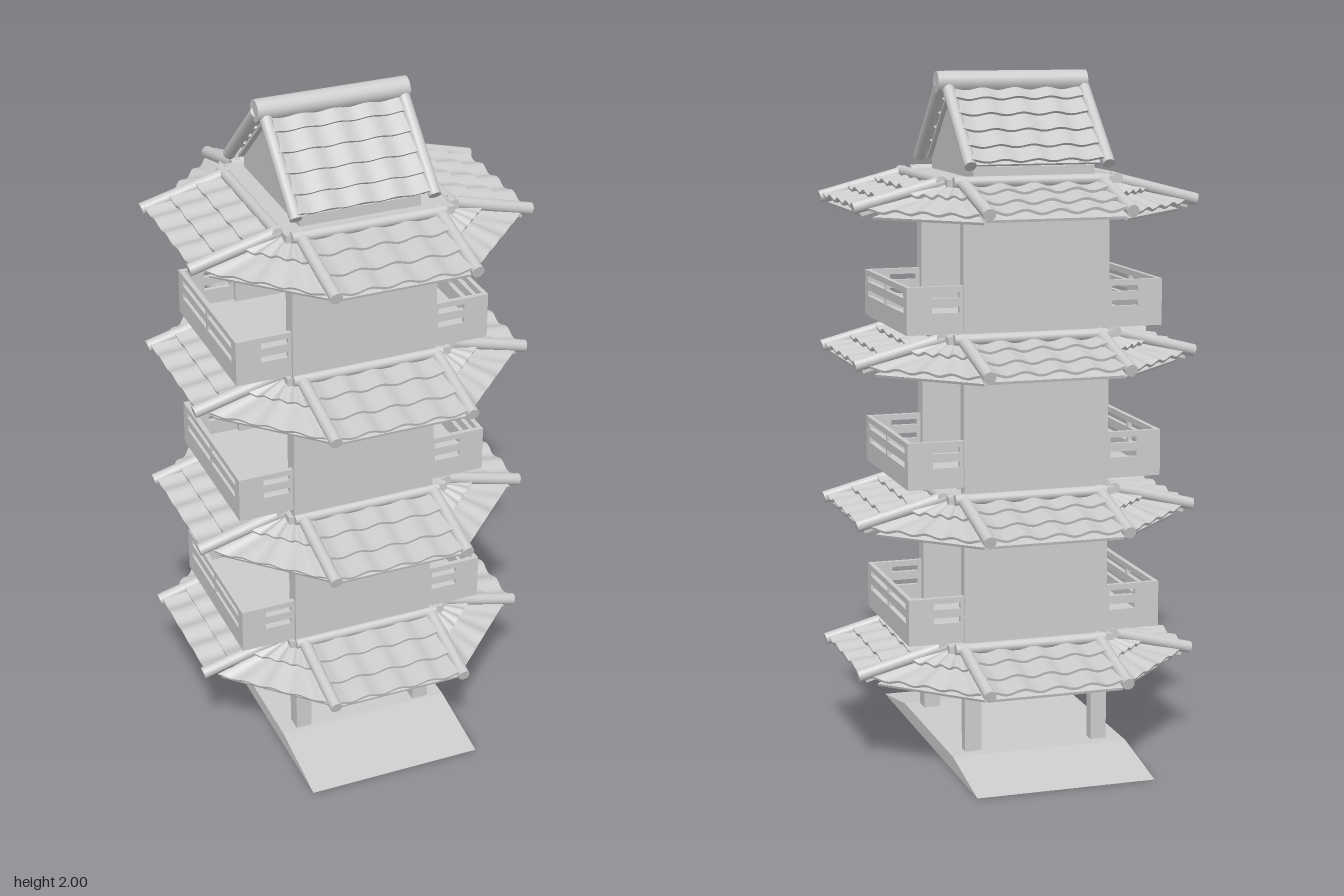
import * as THREE from 'three';

const mat = new THREE.MeshStandardMaterial({ color: 0xcccccc, side: THREE.DoubleSide });
const CX = -0.017, CZ = 0.012; // centre of the tower body

function add(parent, name, geo, x = 0, y = 0, z = 0) {
  const m = new THREE.Mesh(geo, mat);
  m.name = name;
  m.position.set(x, y, z);
  parent.add(m);
  return m;
}

// box given by its min and max corners
function block(parent, name, x0, x1, y0, y1, z0, z1) {
  return add(parent, name, new THREE.BoxGeometry(x1 - x0, y1 - y0, z1 - z0),
    (x0 + x1) / 2, (y0 + y1) / 2, (z0 + z1) / 2);
}

// round beam between two points
function beam(parent, name, a, b, r) {
  const p = new THREE.Vector3(...a), q = new THREE.Vector3(...b);
  const d = q.clone().sub(p);
  const m = add(parent, name, new THREE.CylinderGeometry(r, r, d.length(), 14));
  m.position.copy(p).add(q).multiplyScalar(0.5);
  m.quaternion.setFromUnitVectors(new THREE.Vector3(0, 1, 0), d.normalize());
  return m;
}

// one course of wavy tiles; its width runs from w0 to w1 and its lower edge is lifted
function course(w0, w1, v0, v1, thick, amp, lift, waves) {
  const g = new THREE.BoxGeometry(1, thick, v1 - v0, amp ? 48 : 1, 1, 1);
  const p = g.attributes.position, wide = Math.max(w0, w1);
  for (let i = 0; i < p.count; i++) {
    const t = p.getZ(i) > 0 ? 1 : 0;
    const x = p.getX(i) * (w0 + (w1 - w0) * t);
    const wave = amp * Math.cos((x / wide) * waves * 2 * Math.PI);
    p.setXYZ(i, x, p.getY(i) + wave + lift * t, t ? v1 : v0);
  }
  g.computeVertexNormals();
  return g;
}

// overlapping courses on a flat board, running down local +z
function tiledSlope(name, wTop, wEave, length, rows, waves, amp) {
  const slope = new THREE.Group();
  slope.name = name;
  const w = (v) => wTop + (wEave - wTop) * v / length;
  for (let r = 0; r < rows; r++) {
    const v0 = length * r / rows, v1 = Math.min(length, length * (r + 1) / rows + 0.006);
    add(slope, 'tileCourse', course(w(v0), w(v1), v0, v1, 0.008, amp, 0.014, waves));
  }
  add(slope, 'roofBoard', course(wTop, wEave, 0, length - 0.01, 0.008, 0, 0, 1), 0, -0.014, 0);
  return slope;
}

// skirt roof: four slopes, four corner slopes and the round ridges
function skirtRoof(y) {
  const roof = new THREE.Group();
  roof.name = 'skirtRoof';
  roof.position.y = y;
  for (let i = 0; i < 4; i++) {
    const side = new THREE.Group();
    side.name = 'roofSide';
    side.rotation.y = i * Math.PI / 2;
    const slope = tiledSlope('tiledSlope', 0.4, 0.4, 0.252, 3, 4, 0.006);
    slope.position.set(-0.005, 0.347, 0.255);
    slope.rotation.x = 0.27;
    side.add(slope);

    const corner = new THREE.Group();
    corner.name = 'cornerSlope';
    corner.rotation.y = Math.PI / 4;
    const fan = tiledSlope('tiledCorner', 0.01, 0.35, 0.2, 2, 4, 0.005);
    fan.position.set(0, 0.352, 0.3);
    fan.rotation.x = 0.43;
    corner.add(fan);
    side.add(corner);

    for (const x of [-0.207, 0.203]) {
      beam(side, 'hipRidge', [x, 0.358, 0.245], [x, 0.289, 0.51], 0.018);
    }
    beam(side, 'topRidge', [-0.235, 0.358, 0.258], [0.22, 0.358, 0.258], 0.016);
    roof.add(side);
  }
  block(roof, 'floorSlab', -0.25, 0.25, 0.315, 0.365, -0.25, 0.255);
  return roof;
}

// railing panel with rectangular slots, centred on x and standing on y = 0
function railing(width, height, slots) {
  const s = new THREE.Shape();
  s.moveTo(-width / 2, 0);
  s.lineTo(width / 2, 0);
  s.lineTo(width / 2, height);
  s.lineTo(-width / 2, height);
  s.closePath();
  for (const [x0, x1] of slots) {
    for (const y of [0.06, 0.102]) {
      const h = new THREE.Path();
      h.moveTo(x0, y);
      h.lineTo(x0, y + 0.017);
      h.lineTo(x1, y + 0.017);
      h.lineTo(x1, y);
      h.closePath();
      s.holes.push(h);
    }
  }
  return new THREE.ExtrudeGeometry(s, { depth: 0.014, bevelEnabled: false });
}

// balcony on one side of the tower; dir is +1 for left, -1 for right
function balcony(y, dir) {
  const b = new THREE.Group();
  b.name = dir > 0 ? 'leftBalcony' : 'rightBalcony';
  b.position.set(CX, y, CZ - 0.002);
  const outer = add(b, 'outerRailing', railing(0.48, 0.136, [[-0.205, -0.006], [0.006, 0.205]]),
    dir > 0 ? 0.368 : -0.382, 0, 0);
  outer.rotation.y = Math.PI / 2;
  const slot = dir > 0 ? [-0.07, 0.01] : [-0.01, 0.07];
  for (const z of [-0.24, 0.226]) {
    add(b, 'endRailing', railing(0.168, 0.136, [slot]), dir * 0.298, 0, z);
  }
  add(b, 'balconyFloor', new THREE.BoxGeometry(0.17, 0.014, 0.476), dir * 0.295, 0.007, 0);
  return b;
}

export function createModel() {
  const model = new THREE.Group();
  model.name = 'pagoda';

  // base with ramps to the front and back
  const ramp = new THREE.Shape([[-0.515, 0], [0.515, 0], [0.27, 0.042], [-0.27, 0.042]]
    .map(([a, b]) => new THREE.Vector2(a, b)));
  add(model, 'base', new THREE.ExtrudeGeometry(ramp, { depth: 0.53, bevelEnabled: false }), -0.283)
    .rotation.y = Math.PI / 2;

  // ground storey posts and lintels, and the tall walls above
  const walls = [[0.21, 0.26, 'front'], [-0.235, -0.2, 'back']];
  for (const [z0, z1, name] of walls) {
    block(model, name + 'Post', -0.235, -0.187, 0.04, 0.34, z0, z1);
    block(model, name + 'Post', 0.15, 0.2, 0.04, 0.34, z0, z1);
    block(model, name + 'Lintel', -0.187, 0.15, 0.258, 0.34, z0, z1);
    block(model, name + 'Wall', -0.235, 0.2, 0.34, 1.7, z0, z1);
  }

  // skirt roofs and balconies
  [0, 0.44, 0.9, 1.342].forEach((y) => model.add(skirtRoof(y)));
  for (const y of [0.371, 0.828, 1.272]) {
    model.add(balcony(y, 1), balcony(y, -1));
    block(model, 'storeyFloor', -0.24, 0.205, y - 0.012, y + 0.014, -0.2, 0.21);
  }

  // gable roof
  const gable = new THREE.Group();
  gable.name = 'gableRoof';
  const tri = new THREE.Shape([[-0.215, 1.7], [0.215, 1.7], [0.215, 1.738], [0, 1.94], [-0.215, 1.738]]
    .map(([a, b]) => new THREE.Vector2(a, b)));
  add(gable, 'gableWall', new THREE.ExtrudeGeometry(tri, { depth: 0.36, bevelEnabled: false }), -0.195)
    .rotation.y = Math.PI / 2;
  for (const s of [1, -1]) {
    const half = new THREE.Group();
    half.name = s > 0 ? 'frontGableSlope' : 'backGableSlope';
    half.position.x = CX;
    half.rotation.y = s > 0 ? 0 : Math.PI;
    const slope = tiledSlope('tiledSlope', 0.39, 0.39, 0.315, 5, 4, 0.005);
    slope.position.y = 1.958;
    slope.rotation.x = 0.742;
    half.add(slope);
    for (const x of [-0.197, 0.213]) {
      beam(half, 'vergeRidge', [x, 1.962, 0.005], [x, 1.742, 0.24], 0.018);
    }
    gable.add(half);
  }
  beam(gable, 'mainRidge', [-0.24, 1.968, 0], [0.212, 1.968, 0], 0.032);
  model.add(gable);
  return model;
}
